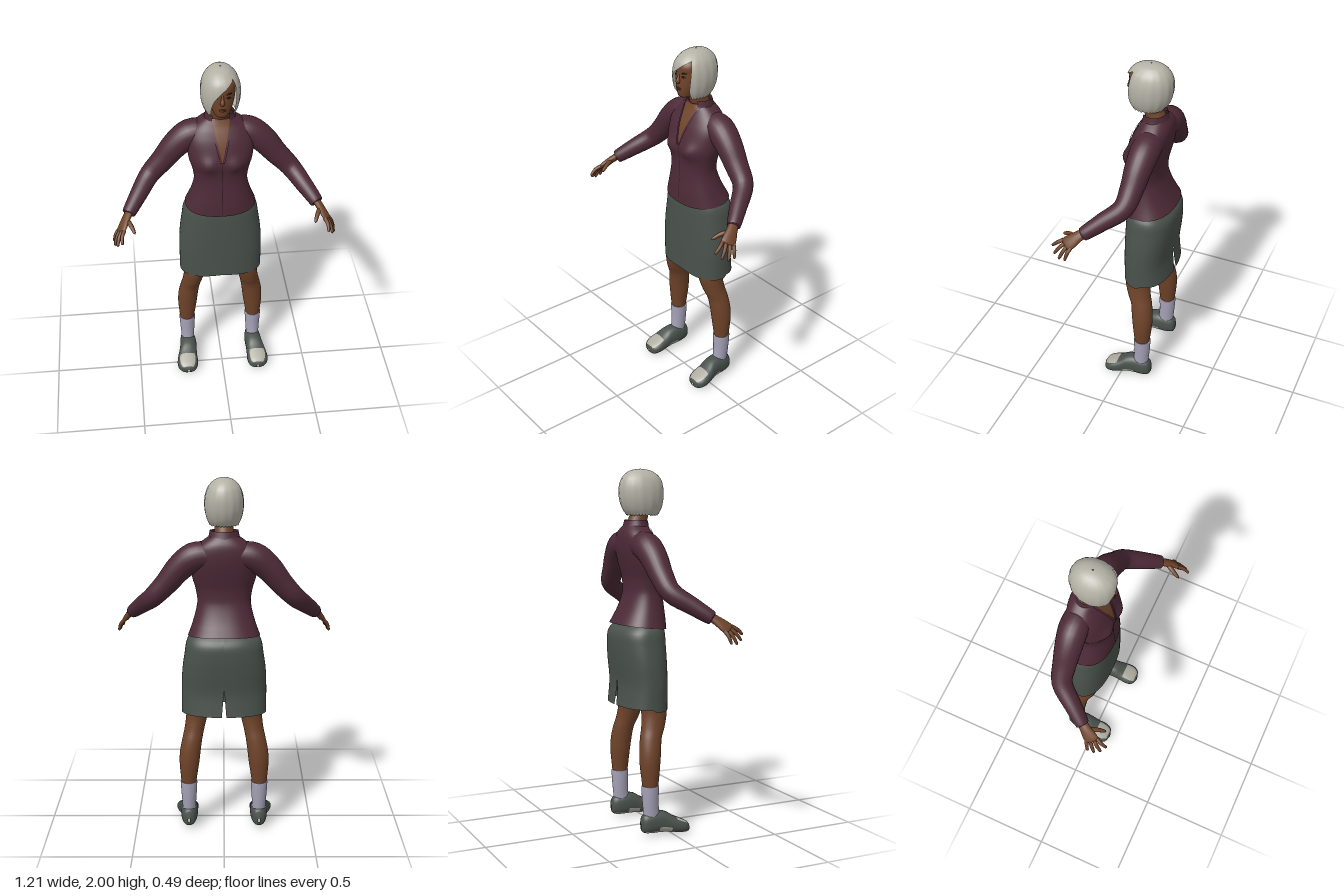
import * as THREE from 'three';

const mat = (name, color, double = true) => {
  const m = new THREE.MeshStandardMaterial({ color });
  m.name = name;
  if (double) m.side = THREE.DoubleSide;
  return m;
};

// Hermite lookup in a table whose first column is the key
function at(rows, k) {
  let i = 0;
  while (i < rows.length - 2 && k > rows[i + 1][0]) i++;
  const a = rows[i], b = rows[i + 1], p = rows[Math.max(i - 1, 0)], q = rows[Math.min(i + 2, rows.length - 1)];
  const h = b[0] - a[0], t = (k - a[0]) / h, t2 = t * t, t3 = t2 * t;
  return a.map((_, c) => {
    const ma = (b[c] - p[c]) / (b[0] - p[0]) * h, mb = (q[c] - a[c]) / (q[0] - a[0]) * h;
    return (2 * t3 - 3 * t2 + 1) * a[c] + (t3 - 2 * t2 + t) * ma + (3 * t2 - 2 * t3) * b[c] + (t3 - t2) * mb;
  });
}
const sampleKeys = (rows, sub) => {
  const keys = [];
  for (let i = 0; i < rows.length - 1; i++)
    for (let j = 0; j < sub; j++) keys.push(rows[i][0] + (rows[i + 1][0] - rows[i][0]) * j / sub);
  keys.push(rows[rows.length - 1][0]);
  return keys;
};

// Surface from a rule f(u, row); pick(u, row) chooses a material slot
function grid(cols, nRows, f, closed, pick) {
  const pos = [], idx = [[], []], n = closed ? cols : cols + 1;
  for (let r = 0; r < nRows; r++) for (let c = 0; c < n; c++) pos.push(...f(c / cols, r));
  for (let r = 0; r < nRows - 1; r++) for (let c = 0; c < cols; c++) {
    const a = r * n + c, e = r * n + (c + 1) % n;
    idx[pick ? pick((c + 0.5) / cols, r) : 0].push(a, a + n, e, a + n, e + n, e);
  }
  const g = new THREE.BufferGeometry();
  g.setAttribute('position', new THREE.Float32BufferAttribute(pos, 3));
  g.setIndex([...idx[0], ...idx[1]]);
  if (pick) { g.addGroup(0, idx[0].length, 0); g.addGroup(idx[0].length, idx[1].length, 1); }
  g.computeVertexNormals();
  return g;
}

const spow = (v, e) => Math.sign(v) * Math.pow(Math.abs(v), 2 / e);
// Horizontal rings, rows [y, centreX, halfWidth, frontZ, backZ, ...]; angle 0 is the back
function loft(rows, { cols = 36, sub = 4, e = 2, range, tweak } = {}) {
  const rings = sampleKeys(rows, sub).map(k => at(rows, k));
  return grid(cols, rings.length, (u, r) => {
    const w = rings[r], [y, cx, hw, zf, zb] = w, [t0, t1] = range ? range(w) : [0, Math.PI * 2];
    const t = t0 + (t1 - t0) * u;
    const p = [cx + hw * spow(Math.sin(t), e), y, (zf + zb) / 2 - (zf - zb) / 2 * spow(Math.cos(t), e)];
    return tweak ? tweak(p, t) : p;
  }, !range);
}

// Tapered limb, points [x, y, z, radius along ref, other radius]
function sweep(pts, ref, cols = 16, sub = 4) {
  const curve = new THREE.CatmullRomCurve3(pts.map(p => new THREE.Vector3(p[0], p[1], p[2])));
  const rad = pts.map((p, i) => [i, p[3], p[4] ?? p[3]]), n = (pts.length - 1) * sub;
  const rings = Array.from({ length: n + 1 }, (_, i) => {
    const t = curve.getTangent(i / n), nrm = ref.clone().addScaledVector(t, -ref.dot(t)).normalize();
    const [, ra, rb] = at(rad, i / sub);
    return { c: curve.getPoint(i / n), nrm, b: t.clone().cross(nrm), ra, rb };
  });
  return grid(cols, n + 1, (u, r) => {
    const { c, nrm, b, ra, rb } = rings[r], f = -u * Math.PI * 2;
    return c.clone().addScaledVector(nrm, ra * Math.cos(f)).addScaledVector(b, rb * Math.sin(f)).toArray();
  }, true);
}

export function createModel() {
  const root = new THREE.Group();
  const skin = mat('brown skin', 0x6f4329), maroon = mat('maroon cloth', 0x4d2a37), seamMat = mat('dark maroon seam', 0x32191f);
  const grey = mat('grey green cloth', 0x4a524d), hairMat = mat('silver hair', 0xb4b1a5), sockMat = mat('lavender sock', 0xa6a3b8);
  const pale = mat('pale shoe trim', 0xaeaba0), dark = mat('dark eye', 0x1f1410), lipMat = mat('lip', 0x55291f);
  const add = (name, geo, m, parent = root) => {
    const mesh = new THREE.Mesh(geo, m);
    mesh.name = name;
    parent.add(mesh);
    return mesh;
  };
  const Z = new THREE.Vector3(0, 0, 1), X = new THREE.Vector3(1, 0, 0);

  // Jacket body, with a bust and a hem that rises at the back
  const torso = [[1.13, 0, .197, .04, -.238], [1.2, 0, .175, .037, -.212], [1.32, 0, .146, .026, -.167],
    [1.4, 0, .155, .028, -.165], [1.46, 0, .172, .034, -.178], [1.52, 0, .18, .025, -.192], [1.58, 0, .18, .005, -.2],
    [1.63, 0, .158, -.02, -.2], [1.665, 0, .12, -.04, -.192], [1.7, 0, .07, -.055, -.17]];
  const bust = (x, y) => .022 * Math.exp(-(((Math.abs(x) - .075) / .05) ** 2) - ((y - 1.455) / .045) ** 2);
  add('jacketBody', loft(torso, { cols: 56, e: 2.3, tweak: ([x, y, z]) =>
    [x, y + Math.max(0, 1 - (y - 1.13) / .1) * .03 * (.04 - z) / .28, z > -.06 ? z + bust(x, y) : z] }), maroon);
  const frontZ = (x, y) => {
    const [, , hw, zf, zb] = at(torso, y), q = Math.min(Math.abs(x) / hw, 1);
    return (zf + zb) / 2 + (zf - zb) / 2 * Math.pow(1 - Math.pow(q, 2.3), 1 / 2.3) + bust(x, y);
  };
  // Strip lying on the jacket front between two edges
  const strip = (y0, y1, left, right, lift) => grid(8, 17, (u, r) => {
    const y = y0 + (y1 - y0) * r / 16, x = left(y) + (right(y) - left(y)) * u;
    return [x, y, frontZ(x, y) + lift];
  }, false);
  const vee = y => .046 * (y - 1.48) / .2;
  add('neckline', strip(1.48, 1.695, y => -vee(y), vee, .004), skin);
  add('frontSeam', strip(1.14, 1.48, () => -.0018, () => .0018, .003), seamMat);
  for (const s of [-1, 1])
    add('lapel', strip(1.48, 1.69, y => s * vee(y), y => s * (vee(y) + .012), .008), maroon);
  add('collar', loft([[1.655, 0, .1, -.03, -.192], [1.69, 0, .084, -.04, -.178], [1.725, 0, .076, -.045, -.168]], {
    range: () => [-Math.PI + .6, Math.PI - .6], tweak: ([x, y, z]) => [x, y - .1 * Math.max(0, z + .1), z] }), maroon);

  // Skirt with a slit at the back
  add('skirt', loft([[.69, 0, .235, .03, -.237], [.76, 0, .235, .03, -.23], [.84, 0, .235, .03, -.225], [.95, 0, .23, .029, -.238],
    [1.05, 0, .216, .027, -.246], [1.12, 0, .203, .024, -.238], [1.17, 0, .17, .015, -.19]], {
    cols: 60, e: 2.4,
    range: ([y]) => { const g = .03 * Math.max(0, (.86 - y) / .17); return [g, Math.PI * 2 - g]; },
    tweak: ([x, y, z]) => [x, y + Math.max(0, 1 - (y - .69) / .1) * (z < -.1 ? .018 : .012 * Math.max(0, 1 - Math.abs(x) / .15)), z],
  }), grey);

  // Neck and head
  add('neck', sweep([[0, 1.6, -.13, .056], [0, 1.69, -.11, .053], [0, 1.74, -.092, .05], [0, 1.81, -.075, .05]], X, 24), skin);
  const skull = [[1.748, 0, .012, .012, -.02], [1.757, 0, .033, .027, -.05], [1.775, 0, .047, .034, -.1], [1.81, 0, .062, .037, -.13],
    [1.85, 0, .072, .036, -.15], [1.885, 0, .076, .034, -.16], [1.93, 0, .074, .032, -.16], [1.97, 0, .045, .0, -.13]];
  add('head', loft(skull, { e: 2.2 }), skin);
  const faceZ = (x, y) => {
    const [, , hw, zf, zb] = at(skull, y);
    return (zf + zb) / 2 + (zf - zb) / 2 * Math.pow(1 - Math.pow(Math.abs(x) / hw, 2.2), 1 / 2.2);
  };
  add('nose', sweep([[0, 1.89, .028, .006], [0, 1.865, .036, .008], [0, 1.845, .041, .013, .011], [0, 1.835, .036, .008, .005]], X, 12), skin);
  const faceOval = (name, x, y, w, h, m, tilt = 0) => {
    const o = add(name, new THREE.SphereGeometry(1, 16, 8), m);
    o.scale.set(w, h, .004);
    o.position.set(x, y, faceZ(x, y));
    o.rotation.set(0, x * 9, tilt);
  };
  for (const s of [-1, 1]) {
    faceOval('eye', s * .032, 1.873, .013, .005, dark);
    faceOval('eyebrow', s * .034, 1.893, .018, .004, dark, s * .15);
  }
  faceOval('upperLip', 0, 1.807, .02, .004, lipMat);
  faceOval('lowerLip', 0, 1.8, .017, .005, lipMat);

  // Bobbed hair: columns six and seven are the two edges of the face opening
  add('hair', loft([[1.75, 0, .078, .02, -.155, -.058, .058], [1.78, 0, .092, .036, -.177, -.058, .062], [1.82, 0, .102, .046, -.193, -.054, .069],
    [1.86, 0, .105, .05, -.2, -.042, .074], [1.9, 0, .102, .048, -.2, -.012, .074], [1.935, 0, .092, .04, -.192, .03, .068],
    [1.96, 0, .078, .024, -.178, .056, .056], [1.985, 0, .052, -.01, -.15, .038, .038], [1.996, 0, .027, -.045, -.117, .019, .019],
    [2.0, 0, .003, -.077, -.083, .002, .002]], {
    cols: 72, sub: 3, e: 2.1,
    range: ([, , hw, , , r, l]) => {
      const edge = v => { const q = Math.max(-.9, Math.min(.9, v / hw)); return Math.asin(spow(q, 4 / 2.1)); };
      return [-Math.PI - edge(r), Math.PI - edge(Math.max(l, r))];
    },
    tweak: ([x, y, z], t) => {
      const k = 1 + .012 * Math.cos(15 * t) * Math.min(1, (2 - y) / .06);
      return [x * k, y - (y < 1.76 ? .004 * Math.cos(30 * t) : 0), -.08 + (z + .08) * k];
    },
  }), hairMat);

  const shoeRows = [[-.177, .2, .006, .045, .07], [-.166, .2, .03, .022, .112], [-.13, .2, .044, .013, .128], [-.08, .2, .049, .012, .135],
    [-.03, .205, .052, .01, .125], [.01, .211, .058, .005, .1], [.06, .214, .062, .001, .076], [.095, .213, .044, .002, .056], [.108, .212, .008, .015, .035]];
  const shoeRings = sampleKeys(shoeRows, 4).map(k => at(shoeRows, k));

  for (const s of [-1, 1]) {
    const side = s > 0 ? 'left' : 'right';
    // Arm and hand
    const arm = new THREE.Group();
    arm.name = side + 'Arm';
    root.add(arm);
    add('sleeve', sweep([[.07, 1.595, -.12, .07], [.16, 1.582, -.118, .078], [.235, 1.525, -.112, .073], [.31, 1.435, -.105, .063],
      [.385, 1.355, -.088, .055], [.452, 1.288, .0, .047], [.512, 1.226, .085, .036], [.514, 1.224, .088, .026]]
      .map(([x, ...p]) => [s * x, ...p]), Z, 24), maroon, arm);
    const W = new THREE.Vector3(-.38 * s, .32, .87);
    add('palm', sweep([[.5, 1.24, .068, .026, .02], [.526, 1.212, .108, .031, .019], [.546, 1.185, .14, .039, .017],
      [.558, 1.168, .162, .037, .013], [.562, 1.163, .168, .012, .004]].map(([x, ...p]) => [s * x, ...p]), W), skin, arm);
    [[.555, 1.135, .243], [.58, 1.108, .222], [.594, 1.092, .19], [.598, 1.095, .155]].forEach(([x, y, z], i) => {
      const k = .03 - i * .02, a = [.553 - .38 * k, 1.173 + .32 * k, .156 + .87 * k];
      add('finger', sweep([[s * a[0], a[1], a[2], .011], [s * ((a[0] + x) / 2 + .006), (a[1] + y) / 2 + .006, (a[2] + z) / 2, .01],
        [s * x, y + .004, z - .003, .007], [s * x, y, z, .001]], W, 10), skin, arm);
    });
    add('thumb', sweep([[s * .528, 1.212, .115, .014], [s * .503, 1.2, .165, .012], [s * .488, 1.181, .202, .008], [s * .485, 1.175, .21, .001]], W, 10), skin, arm);

    // Leg, sock and shoe
    const leg = new THREE.Group();
    leg.name = side + 'Leg';
    root.add(leg);
    const mirrored = rows => rows.map(([y, x, ...r]) => [y, s * x, ...r]);
    add('bareLeg', loft(mirrored([[.26, .2, .041, -.079, -.161], [.3, .2, .045, -.073, -.166], [.4, .196, .056, -.063, -.176], [.47, .19, .058, -.055, -.175],
      [.54, .178, .056, -.045, -.166], [.6, .165, .056, -.02, -.152], [.68, .15, .062, .0, -.145], [.8, .128, .078, .004, -.165], [1.0, .1, .09, .0, -.18]]), { cols: 28 }), skin, leg);
    add('sock', loft(mirrored([[.08, .2, .036, -.06, -.155], [.14, .2, .039, -.07, -.16], [.2, .2, .043, -.073, -.165], [.272, .2, .047, -.071, -.169],
      [.28, .2, .046, -.073, -.167], [.281, .2, .038, -.08, -.158]]), { cols: 28 }), sockMat, leg);
    add('shoe', grid(40, shoeRings.length, (u, r) => {
      const [z, cx, hw, lo, hi] = shoeRings[r], f = -u * Math.PI * 2;
      return [s * cx + hw * spow(Math.cos(f), 2.4), (lo + hi) / 2 + (hi - lo) / 2 * spow(Math.sin(f), 2.4), z];
    }, true, (u, r) => {
      const z = shoeRings[r][0], up = Math.sin(-u * Math.PI * 2);
      const toeCap = up > .72 && z > .022 && z < .098, sole = up < -.75 && z > -.16 && z < .09;
      const sidePanel = up < -.3 && z > -.09 && z < -.01;
      return toeCap || sole || sidePanel ? 1 : 0;
    }), [grey, pale], leg);
  }
  return root;
}
